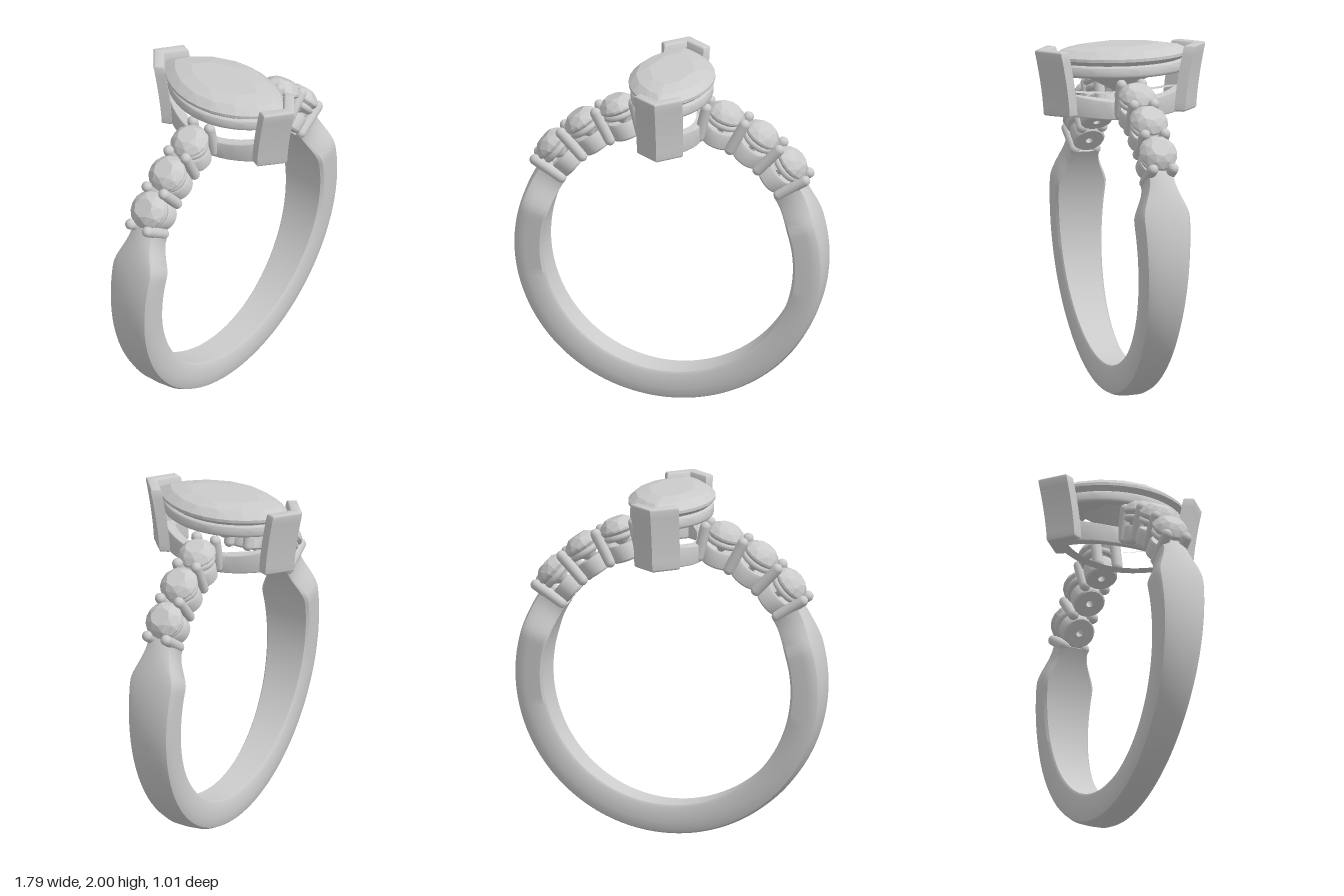
import * as THREE from 'three';
import { toCreasedNormals } from 'three/addons/utils/BufferGeometryUtils.js';
import { ConvexGeometry } from 'three/addons/geometries/ConvexGeometry.js';

const CY = 0.893; // height of the ring's centre
const metal = new THREE.MeshStandardMaterial({ color: 0xcccccc });
const gem = new THREE.MeshStandardMaterial({ color: 0xcccccc, flatShading: true });

function add(parent, name, geometry, material = metal) {
  const mesh = new THREE.Mesh(geometry, material);
  mesh.name = name;
  parent.add(mesh);
  return mesh;
}

function deform(geometry, rule) {
  const p = geometry.attributes.position;
  const v = new THREE.Vector3();
  for (let i = 0; i < p.count; i++) {
    rule(v.fromBufferAttribute(p, i));
    p.setXYZ(i, v.x, v.y, v.z);
  }
  return toCreasedNormals(geometry, 0.6);
}

// Pointed oval of half width w (x) and half length l, made of two arcs
function marquise(w, l, n, turn = 0) {
  const R = (l * l + w * w) / (2 * w);
  return Array.from({ length: n }, (_, i) => {
    const a = ((i + turn) / n) * Math.PI * 2;
    const z = l * Math.cos(a);
    const x = Math.sqrt(R * R - z * z) - (R - w);
    return new THREE.Vector2(Math.sin(a) < 0 ? -x : x, z);
  });
}

// Upright ring with a pointed oval outline and opening
function marquiseRing(w, l, wall, tip, y0, y1, bevel) {
  const shape = new THREE.Shape(marquise(w - bevel, l - bevel * 1.6, 48));
  shape.holes.push(new THREE.Path(marquise(w - wall + bevel, l - tip + bevel, 48)));
  const g = new THREE.ExtrudeGeometry(shape, {
    depth: y1 - y0 - 2 * bevel, bevelThickness: bevel, bevelSize: bevel, bevelSegments: 4,
  });
  return g.rotateX(-Math.PI / 2).translate(0, y0 + bevel, 0);
}

// Faceted stone from level outlines: [scale, height, sides, turn]
function cutStone(w, l, levels, round) {
  const points = [];
  for (const [s, y, n, turn] of levels) {
    if (round) {
      for (let i = 0; i < n; i++) {
        const a = ((i + turn) / n) * Math.PI * 2;
        points.push(new THREE.Vector3(w * s * Math.cos(a), y, w * s * Math.sin(a)));
      }
    } else {
      for (const p of marquise(w * s, l * s, n, turn)) points.push(new THREE.Vector3(p.x, y, p.y));
    }
  }
  return new ConvexGeometry(points);
}

// Tapering band: a section swept round the finger, open at the top
function bandGeometry() {
  const half = [[0.9, 0.72], [1, 0.735], [1, 0.82], [0.97, 0.855], [0.88, 0.878], [0.6, 0.89], [0, 0.893]];
  const section = [[-1, 0.735], [-0.9, 0.72], ...half,
    ...half.slice(2, 6).reverse().map(([u, r]) => [-u, r])];
  const end = THREE.MathUtils.degToRad(123.5);
  const steps = 120, m = section.length, pos = [], index = [];
  for (let i = 0; i <= steps; i++) {
    const a = -end + (2 * end * i) / steps;
    const y = CY - 0.893 * Math.cos(a);
    const shoulder = THREE.MathUtils.smoothstep(y, 1.13, 1.36);
    const w = (0.09 + 0.06 * Math.min(y / 1.15, 1)) * (1 - 0.46 * shoulder);
    for (const [u, r] of section) pos.push(r * Math.sin(a), CY - r * Math.cos(a), u * w);
  }
  for (let i = 0; i < steps; i++) {
    for (let j = 0; j < m; j++) {
      const a = i * m + j, b = i * m + ((j + 1) % m);
      index.push(a, b, a + m, b, b + m, a + m);
    }
  }
  for (let j = 1; j < m - 1; j++) {
    index.push(0, j + 1, j, steps * m, steps * m + j, steps * m + j + 1);
  }
  const g = new THREE.BufferGeometry();
  g.setAttribute('position', new THREE.Float32BufferAttribute(pos, 3));
  g.setIndex(index);
  return toCreasedNormals(g, 0.7);
}

// V-shaped claw that leans outward towards the top
function clawGeometry() {
  const outline = [[0, 0.49], [0.122, 0.393], [0.108, 0.362], [0, 0.447], [-0.108, 0.362], [-0.122, 0.393]];
  const shape = new THREE.Shape(outline.map(([x, y]) => new THREE.Vector2(x, y)));
  const g = new THREE.ExtrudeGeometry(shape, {
    depth: 0.35, steps: 8, bevelThickness: 0.014, bevelSize: 0.014, bevelSegments: 4,
  });
  g.rotateX(-Math.PI / 2).translate(0, 1.624, 0);
  return deform(g, (v) => {
    const t = THREE.MathUtils.clamp((v.y - 1.61) / 0.375, 0, 1);
    v.z += 0.055 * (1 - Math.pow(t, 1.5));
    v.x *= 0.95 + 0.05 * t;
  });
}

export function createModel() {
  const ring = new THREE.Group();
  ring.name = 'ring';
  add(ring, 'band', bandGeometry());

  // Centre stone and its setting
  const head = new THREE.Group();
  head.name = 'head';
  ring.add(head);
  add(head, 'centreStone', cutStone(0.24, 0.42, [
    [0.55, 2, 8, 0], [0.83, 1.982, 16, 0.5], [1, 1.945, 32, 0], [1, 1.928, 32, 0],
    [0.5, 1.825, 16, 0], [0.06, 1.73, 8, 0],
  ]), gem);
  add(head, 'upperGallery', toCreasedNormals(marquiseRing(0.23, 0.41, 0.06, 0.1, 1.832, 1.902, 0.02), 0.6));
  add(head, 'lowerGallery', deform(marquiseRing(0.185, 0.41, 0.06, 0.1, 1.61, 1.74, 0.008), (v) => {
    if (v.y > 1.67) v.y -= 0.045 * Math.max(0, 1 - (v.z / 0.32) ** 2);
    else v.y += Math.sqrt(0.725 ** 2 - v.x ** 2) - 0.722;
  }));
  const claw = clawGeometry();
  for (const turn of [0, Math.PI]) add(head, turn ? 'frontClaw' : 'backClaw', claw).rotation.y = turn;

  // Side stones, cups and prongs; local y points away from the finger
  const stone = cutStone(0.11, 0.11, [
    [0.52, 0.968, 8, 0], [0.82, 0.945, 8, 0.5], [1, 0.912, 16, 0], [1, 0.9, 16, 0], [0.06, 0.8, 6, 0],
  ], true);
  const cupProfile = [[0.02, 0.8], [0.02, 0.722], [0.082, 0.722], [0.09, 0.732], [0.092, 0.81],
    [0.085, 0.822], [0.065, 0.822], [0.02, 0.8]];
  const cup = toCreasedNormals(
    new THREE.LatheGeometry(cupProfile.map(([x, y]) => new THREE.Vector2(x, y)), 32), 0.6);
  const seat = new THREE.TorusGeometry(0.082, 0.02, 10, 32).rotateX(Math.PI / 2).translate(0, 0.866, 0);
  const prong = new THREE.CapsuleGeometry(0.031, 0.178, 6, 14).translate(0, 0.838, 0);

  for (const side of [1, -1]) {
    const shoulder = new THREE.Group();
    shoulder.name = side > 0 ? 'leftShoulder' : 'rightShoulder';
    shoulder.position.y = CY;
    ring.add(shoulder);
    const radial = (name, degrees) => {
      const g = new THREE.Group();
      g.name = name;
      g.rotation.z = -side * THREE.MathUtils.degToRad(90 - degrees);
      shoulder.add(g);
      return g;
    };
    for (const angle of [40.3, 55, 69.7]) {
      const setting = radial('sideSetting', angle);
      add(setting, 'sideStone', stone, gem);
      add(setting, 'stoneSeat', seat);
      add(setting, 'stoneCup', cup);
    }
    for (const angle of [33.2, 47.5, 62.5, 77]) {
      const pair = radial('prongPair', angle);
      for (const z of [-0.06, 0.06]) add(pair, 'prong', prong).position.z = z;
    }
  }
  return ring;
}
